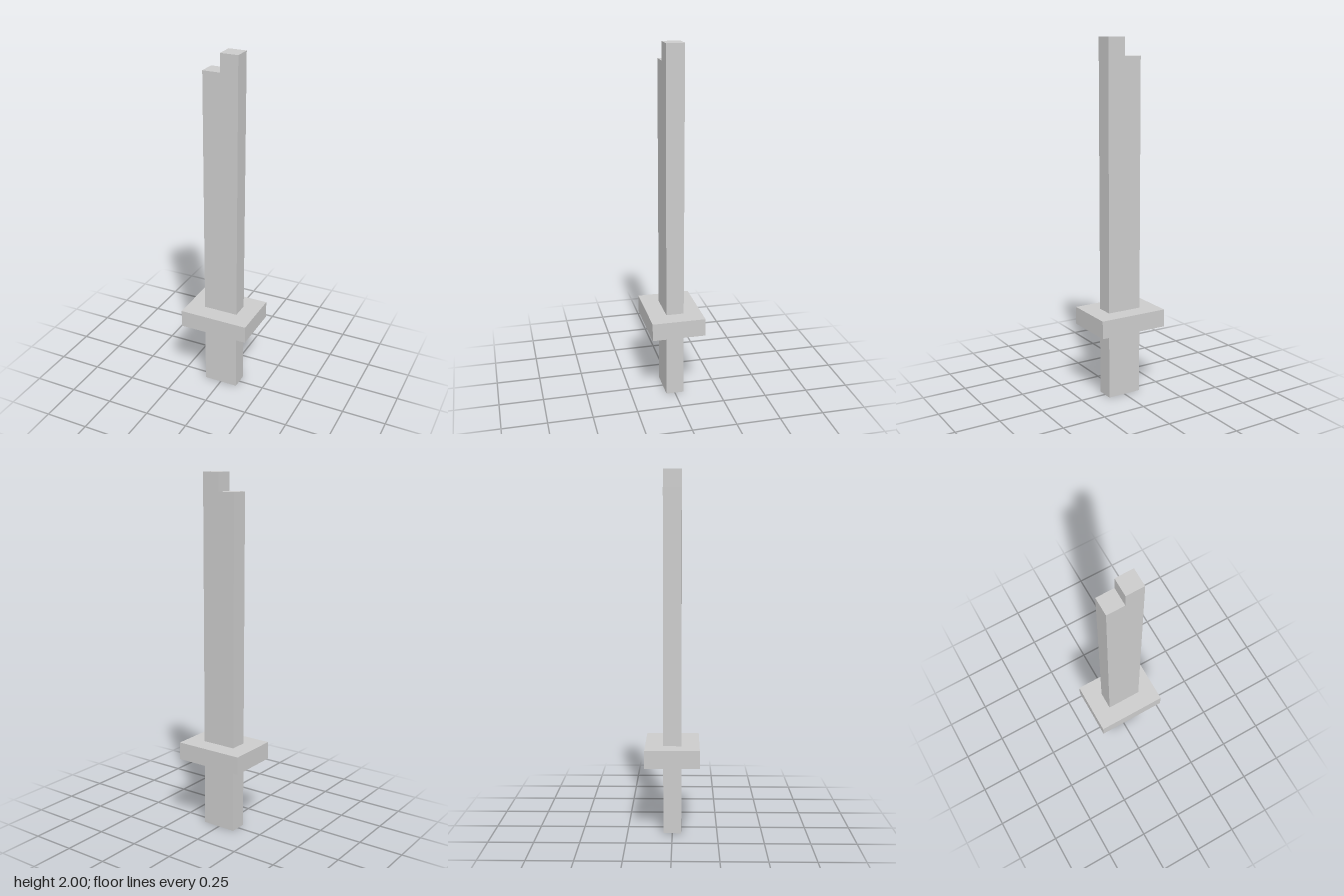
import * as THREE from 'three';

export function createModel() {
  const group = new THREE.Group();
  const material = new THREE.MeshStandardMaterial({ color: 0xcccccc, flatShading: true });

  function add(name, geometry, y, z = 0) {
    const mesh = new THREE.Mesh(geometry, material);
    mesh.name = name;
    mesh.position.set(0, y, z);
    group.add(mesh);
  }

  // Grip below the guard
  add('handle', new THREE.BoxGeometry(0.2, 0.4, 0.1), 0.2);

  // Wide flat cross guard
  add('guard', new THREE.BoxGeometry(0.4, 0.1, 0.3), 0.45);

  // Blade with a stepped tip, higher on its left half
  const outline = new THREE.Shape([
    [-0.1, 0], [0.1, 0], [0.1, 1.5], [0, 1.5], [0, 1.4], [-0.1, 1.4],
  ].map(([x, y]) => new THREE.Vector2(x, y)));
  add('blade', new THREE.ExtrudeGeometry(outline, { depth: 0.1, bevelEnabled: false }), 0.5, -0.05);

  return group;
}
